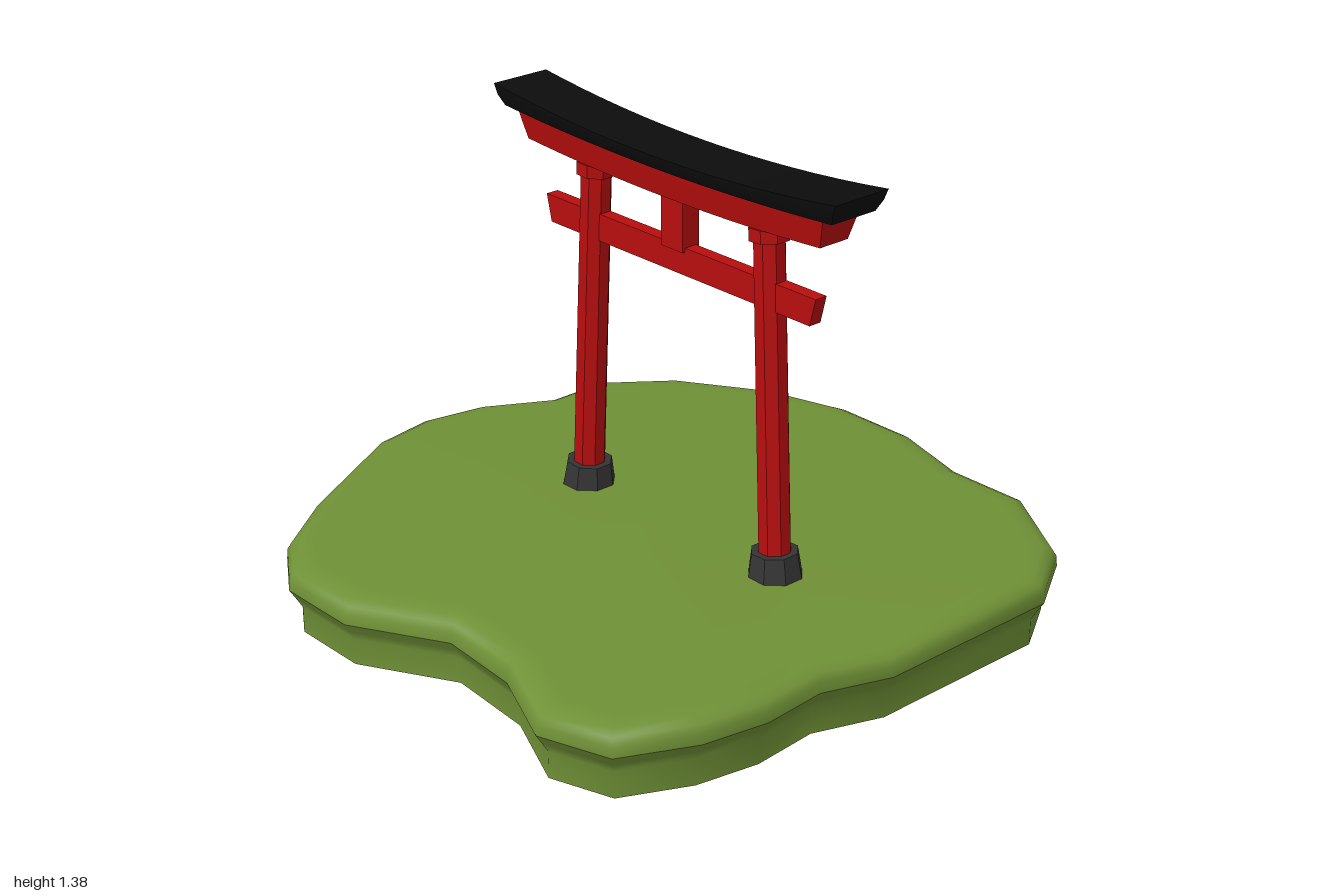
import * as THREE from 'three';

const mat = (name, color) => {
  const m = new THREE.MeshStandardMaterial({ color });
  m.name = name;
  return m;
};

// Island outline, clockwise from the back as seen from above: [x, z]
const OUTLINE = [
  [-0.18, -0.965], [0.09, -0.965], [0.35, -0.89], [0.61, -0.89], [0.88, -0.72],
  [1, -0.525], [1, 0.07], [0.93, 0.27], [0.945, 0.47], [0.91, 0.665], [0.81, 0.875],
  [0.6, 0.945], [0.35, 0.835], [0.09, 0.815], [-0.18, 0.965], [-0.44, 0.965],
  [-0.6, 0.86], [-0.745, 0.665], [-0.965, 0.27], [-1, 0.07], [-0.965, -0.125],
  [-0.855, -0.325], [-0.855, -0.525], [-0.705, -0.72], [-0.44, -0.89],
];

// Outline moved inwards by a constant distance
function inset(d) {
  const n = OUTLINE.length;
  return OUTLINE.map(([x, z], i) => {
    const p = OUTLINE[(i + n - 1) % n], q = OUTLINE[(i + 1) % n];
    const a = new THREE.Vector2(z - p[1], p[0] - x).normalize();
    const b = new THREE.Vector2(q[1] - z, x - q[0]).normalize();
    const m = a.clone().add(b).normalize();
    const k = d / m.dot(a);
    return [x - m.x * k, z - m.y * k];
  });
}

// Skin through [inset, y] rings listed from bottom to top, with an optional cap
function ringSkin(rings, cap) {
  const n = OUTLINE.length, pos = [], idx = [];
  for (const [d, y] of rings) for (const [x, z] of inset(d)) pos.push(x, y, z);
  for (let r = 0; r < rings.length - 1; r++) {
    for (let i = 0; i < n; i++) {
      const a = r * n + i, b = r * n + (i + 1) % n;
      idx.push(a, a + n, b, b, a + n, b + n);
    }
  }
  if (cap) {
    const last = (rings.length - 1) * n, c = rings.length * n;
    pos.push(0, rings[rings.length - 1][1], 0);
    for (let i = 0; i < n; i++) {
      const a = last + i, b = last + (i + 1) % n;
      if (cap === 'top') idx.push(c, b, a);
      else idx.push(c, a, b);
    }
  }
  const g = new THREE.BufferGeometry();
  g.setAttribute('position', new THREE.Float32BufferAttribute(pos, 3));
  g.setIndex(idx);
  g.computeVertexNormals();
  return g;
}

// Beam along x: half lengths and half depths at [bottom, middle, top], ends curving up by rise
function beam(y0, y1, halfLen, halfDepth, rise = [0, 0]) {
  const g = new THREE.BoxGeometry(2, 2, 2, 16, 2, 1);
  const p = g.attributes.position;
  for (let i = 0; i < p.count; i++) {
    const u = p.getX(i), t = (p.getY(i) + 1) / 2, k = Math.round(t * 2);
    const lift = THREE.MathUtils.lerp(rise[0], rise[1], t) * u * u;
    p.setXYZ(i, u * halfLen[k], THREE.MathUtils.lerp(y0, y1, t) + lift, p.getZ(i) * halfDepth[k]);
  }
  g.computeVertexNormals();
  return g;
}

// Eight-sided column with a flat side to the front; radii measured to the flats
function octagon(rTop, rBottom, y0, y1) {
  const k = 1 / Math.cos(Math.PI / 8);
  const g = new THREE.CylinderGeometry(rTop * k, rBottom * k, y1 - y0, 8, 1, false, Math.PI / 8)
    .translate(0, (y0 + y1) / 2, 0).toNonIndexed();
  g.computeVertexNormals();
  return g;
}

export function createModel() {
  const grass = mat('grass green', 0x6f9036);
  const red = mat('lacquer red', 0xb80e0e);
  const black = mat('roof black', 0x0c0c0c);
  const stone = mat('dark stone', 0x343434);
  const pale = mat('pale grey', 0xcfcfcf);

  const model = new THREE.Group();
  model.name = 'shrineGateIsland';
  const add = (parent, name, geometry, material) => {
    const m = new THREE.Mesh(geometry, material);
    m.name = name;
    parent.add(m);
    return m;
  };

  // Island: rounded top, tucked-in side, flat underside
  const island = new THREE.Group();
  island.name = 'island';
  model.add(island);
  add(island, 'islandTop', ringSkin(
    [[0, 0.14], [0.002, 0.17], [0.014, 0.19], [0.04, 0.203], [0.09, 0.21]], 'top'), grass);
  add(island, 'islandSide', ringSkin([[0.035, 0.002], [0.035, 0.08], [0.018, 0.11], [0, 0.14]]), grass);
  add(island, 'islandUnderside', ringSkin([[0.035, 0.002]], 'bottom'), grass);
  add(island, 'undersidePlate', new THREE.BoxGeometry(0.18, 0.004, 0.18).translate(0, 0.002, 0), pale);

  // Gate
  const gate = new THREE.Group();
  gate.name = 'gate';
  gate.position.set(0.085, 0, -0.01);
  model.add(gate);

  // Leaning pillars with stone feet and collars
  for (const side of [-1, 1]) {
    const pillar = new THREE.Group();
    pillar.name = side > 0 ? 'leftPillar' : 'rightPillar';
    pillar.position.set(side * 0.39, 0.21, 0);
    pillar.rotation.z = side * 0.047;
    gate.add(pillar);
    add(pillar, 'foot', octagon(0.063, 0.074, -0.008, 0.07), stone);
    add(pillar, 'shaft', octagon(0.042, 0.044, 0, 1.01), red);
    add(pillar, 'collar', octagon(0.054, 0.054, 0.968, 1.005), red);
  }

  // Cross beams, centre strut and curved roof
  add(gate, 'tieBeam', beam(0.987, 1.067, [0.518, 0.528, 0.538], [0.02, 0.02, 0.02]), red);
  add(gate, 'centreStrut', new THREE.BoxGeometry(0.086, 0.17, 0.06).translate(0, 1.14, 0), red);
  add(gate, 'upperBeam', beam(1.207, 1.296, [0.578, 0.59, 0.602], [0.05, 0.059, 0.067], [0.021, 0.018]), red);
  add(gate, 'roof', beam(1.292, 1.334, [0.645, 0.66, 0.672], [0.078, 0.092, 0.095], [0.024, 0.044]), black);

  return model;
}
